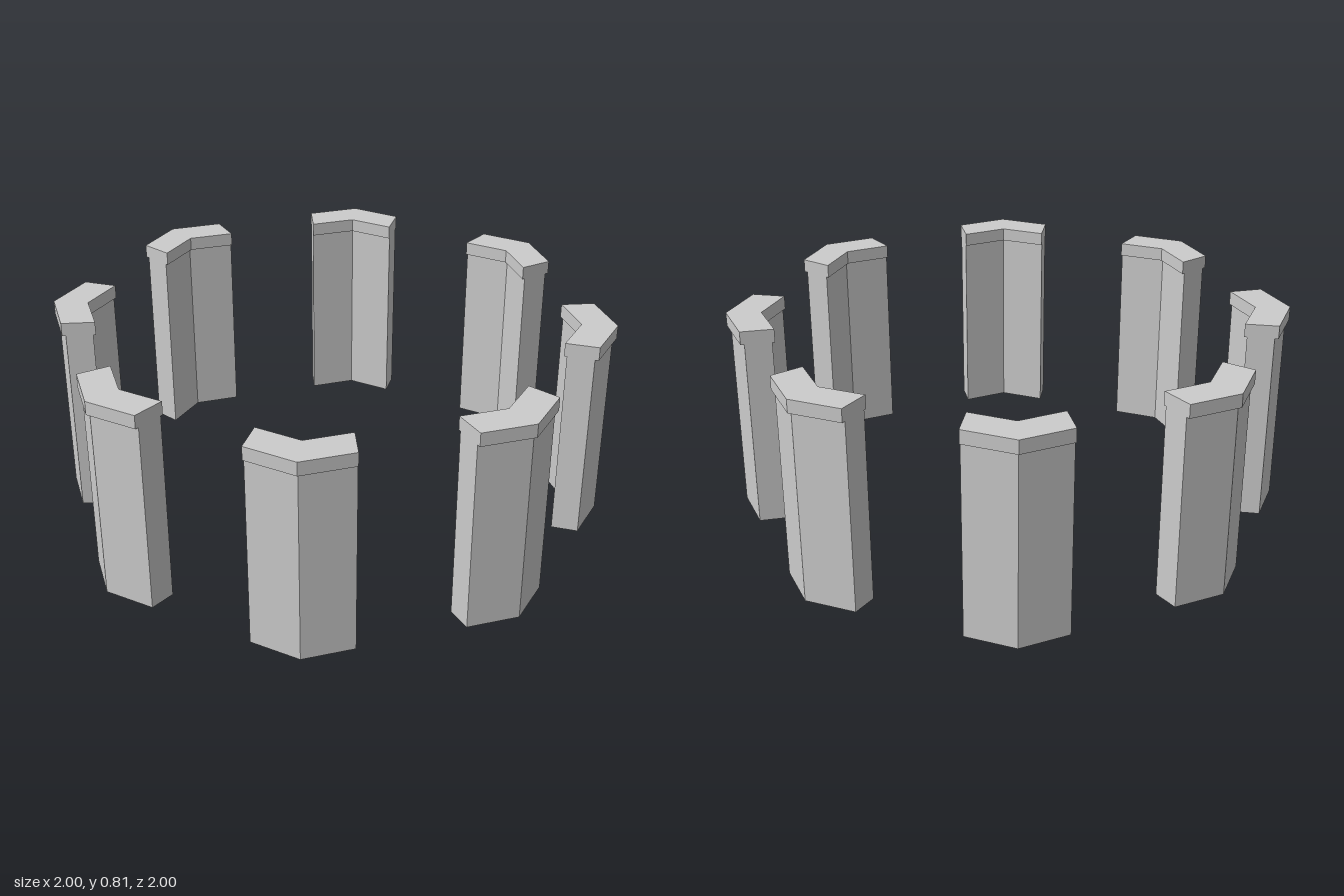
import * as THREE from 'three';

const material = new THREE.MeshStandardMaterial({ color: 0xcccccc, flatShading: true });

// Bent wall piece around one octagon corner, between two face distances.
function bentPrism(inner, outer, bottom, top) {
  const fold = Math.tan(Math.PI / 8);
  const endX = z => 0.183 + (z - 0.875) * 0.21; // slanted end cut
  const near = [[endX(inner), inner], [endX(outer), outer]];
  // the far end mirrors the near one across the corner
  const far = near.map(([x, z]) => [(z - x) * Math.SQRT1_2, (z + x) * Math.SQRT1_2]);
  const outline = [near[0], near[1], [outer * fold, outer], far[1], far[0], [inner * fold, inner]];
  const shape = new THREE.Shape(outline.map(([x, z]) => new THREE.Vector2(x, -z)));
  const geometry = new THREE.ExtrudeGeometry(shape, { depth: top - bottom, bevelEnabled: false });
  geometry.rotateX(-Math.PI / 2);
  geometry.translate(0, bottom, 0);
  return geometry;
}

export function createModel() {
  const model = new THREE.Group();
  model.name = 'pillarRing';
  const bodyGeometry = bentPrism(0.885, 0.986, 0, 0.757);
  const capGeometry = bentPrism(0.875, 1, 0.757, 0.81);

  // Eight identical pillars, one at each corner of the octagon
  for (let i = 0; i < 8; i++) {
    const pillar = new THREE.Group();
    pillar.name = `pillar${i + 1}`;
    const body = new THREE.Mesh(bodyGeometry, material);
    body.name = 'pillarBody';
    const cap = new THREE.Mesh(capGeometry, material);
    cap.name = 'pillarCap';
    pillar.add(body, cap);
    pillar.rotation.y = (i * Math.PI) / 4;
    model.add(pillar);
  }
  return model;
}
